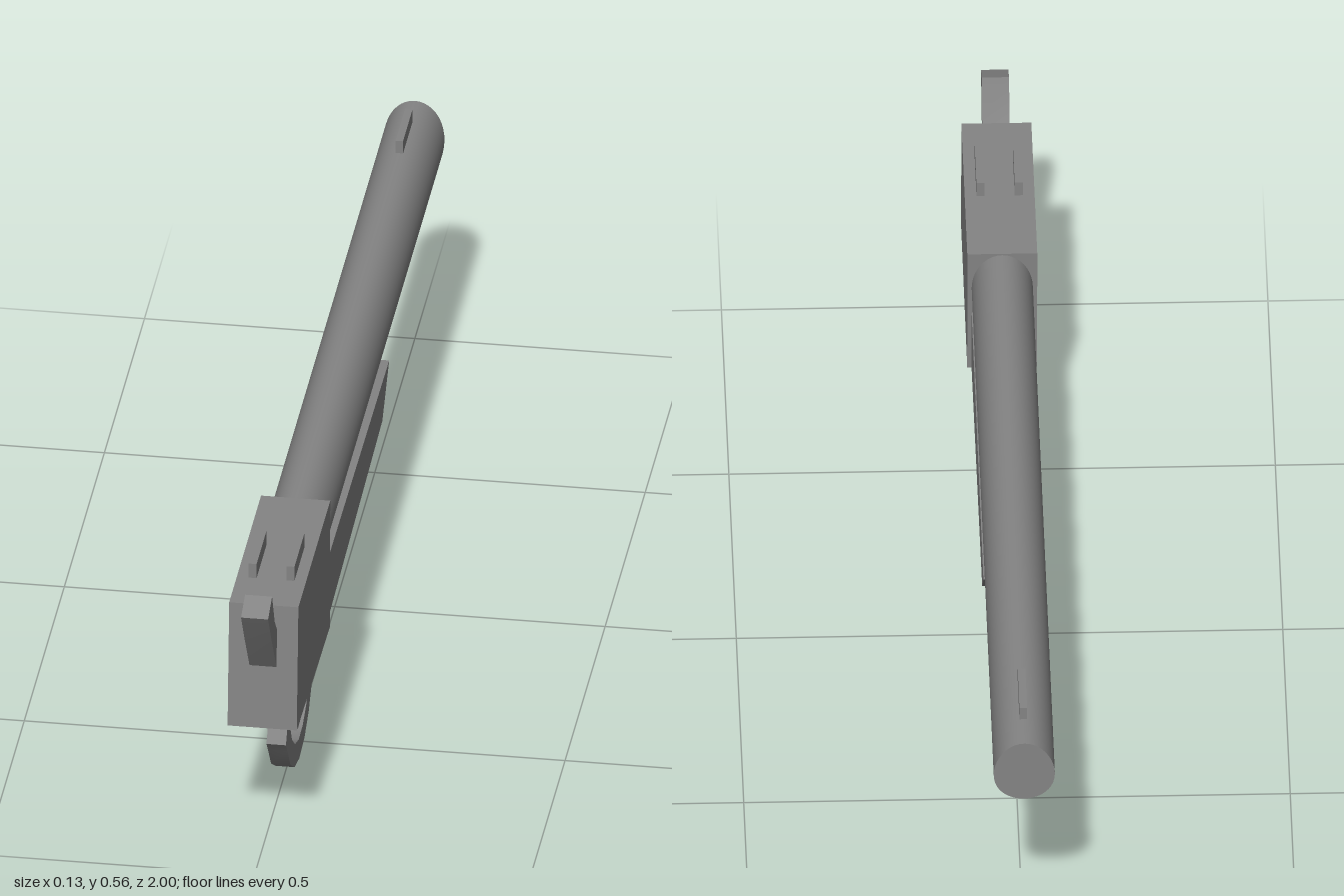
import * as THREE from 'three';
import { toCreasedNormals } from 'three/addons/utils/BufferGeometryUtils.js';

const material = new THREE.MeshStandardMaterial({ color: 0x848484 });

// Side profile given as [z, y] points, extruded across x and centred.
function profile(name, points, width) {
  const shape = new THREE.Shape(points.map(([z, y]) => new THREE.Vector2(z, y)));
  const geo = new THREE.ExtrudeGeometry(shape, { depth: width, bevelEnabled: false });
  geo.translate(0, 0, -width / 2);
  geo.rotateY(-Math.PI / 2);
  const mesh = new THREE.Mesh(toCreasedNormals(geo, 0.45), material);
  mesh.name = name;
  return mesh;
}

function box(name, width, height, depth, x, y, z) {
  const mesh = new THREE.Mesh(new THREE.BoxGeometry(width, height, depth), material);
  mesh.position.set(x, y, z);
  mesh.name = name;
  return mesh;
}

// Oval barrel set into the receiver, its muzzle curving back towards the bottom
function barrel() {
  const top = 0.5, bottom = 0.348, back = 0.52, muzzle = -1;
  const geo = new THREE.CylinderGeometry(1, 1, back - muzzle, 40);
  geo.rotateX(Math.PI / 2);
  geo.scale(0.056, (top - bottom) / 2, 1);
  geo.translate(0, (top + bottom) / 2, (back + muzzle) / 2);
  const p = geo.attributes.position;
  for (let i = 0; i < p.count; i++) {
    const drop = (top - p.getY(i)) / (top - bottom);
    if (p.getZ(i) < 0) p.setZ(i, muzzle + 0.035 * drop * drop);
  }
  const mesh = new THREE.Mesh(geo, material);
  mesh.name = 'barrel';
  return mesh;
}

// Open ring below the receiver, with a pointed rear end
function triggerGuard() {
  const cz = 0.55, cy = 0.179, steps = 9, points = [];
  const arc = (radius, from, to) => {
    for (let i = 0; i <= steps; i++) {
      const a = THREE.MathUtils.degToRad(from + (to - from) * i / steps);
      points.push([cz + radius * Math.cos(a), cy + radius * Math.sin(a)]);
    }
  };
  points.push([cz + 0.18, cy - 0.058]);
  arc(0.18, -27, -205);
  arc(0.137, -205, -20);
  points.push([cz + 0.137, cy + 0.007]);
  return profile('triggerGuard', points, 0.036);
}

export function createModel() {
  const model = new THREE.Group();
  model.name = 'pistol';

  model.add(
    profile('receiver', [[0.885, 0.503], [0.487, 0.503], [0.493, 0.24], [0.905, 0.255]], 0.128),
    profile('foreStock', [[0.838, 0.36], [0.838, 0.22], [-0.217, 0.273], [-0.302, 0.352], [0.487, 0.366]], 0.112),
    barrel(),
    triggerGuard(),
    // Curved trigger blade with a forward toe
    profile('trigger', [[0.6, 0.25], [0.597, 0.17], [0.585, 0.1], [0.521, 0.1],
      [0.551, 0.135], [0.558, 0.18], [0.552, 0.25]], 0.036),
    // Bent hammer rising from the back of the receiver
    profile('hammer', [[1, 0.539], [0.95, 0.559], [0.917, 0.487], [0.87, 0.435],
      [0.87, 0.343], [0.955, 0.468]], 0.05),
    box('frontSight', 0.014, 0.045, 0.12, 0, 0.503, -0.865)
  );

  // Pair of rear sight rails
  for (const side of [1, -1]) {
    model.add(box(side > 0 ? 'rearSightLeft' : 'rearSightRight', 0.015, 0.045, 0.125, side * 0.035, 0.51, 0.727));
  }
  return model;
}
